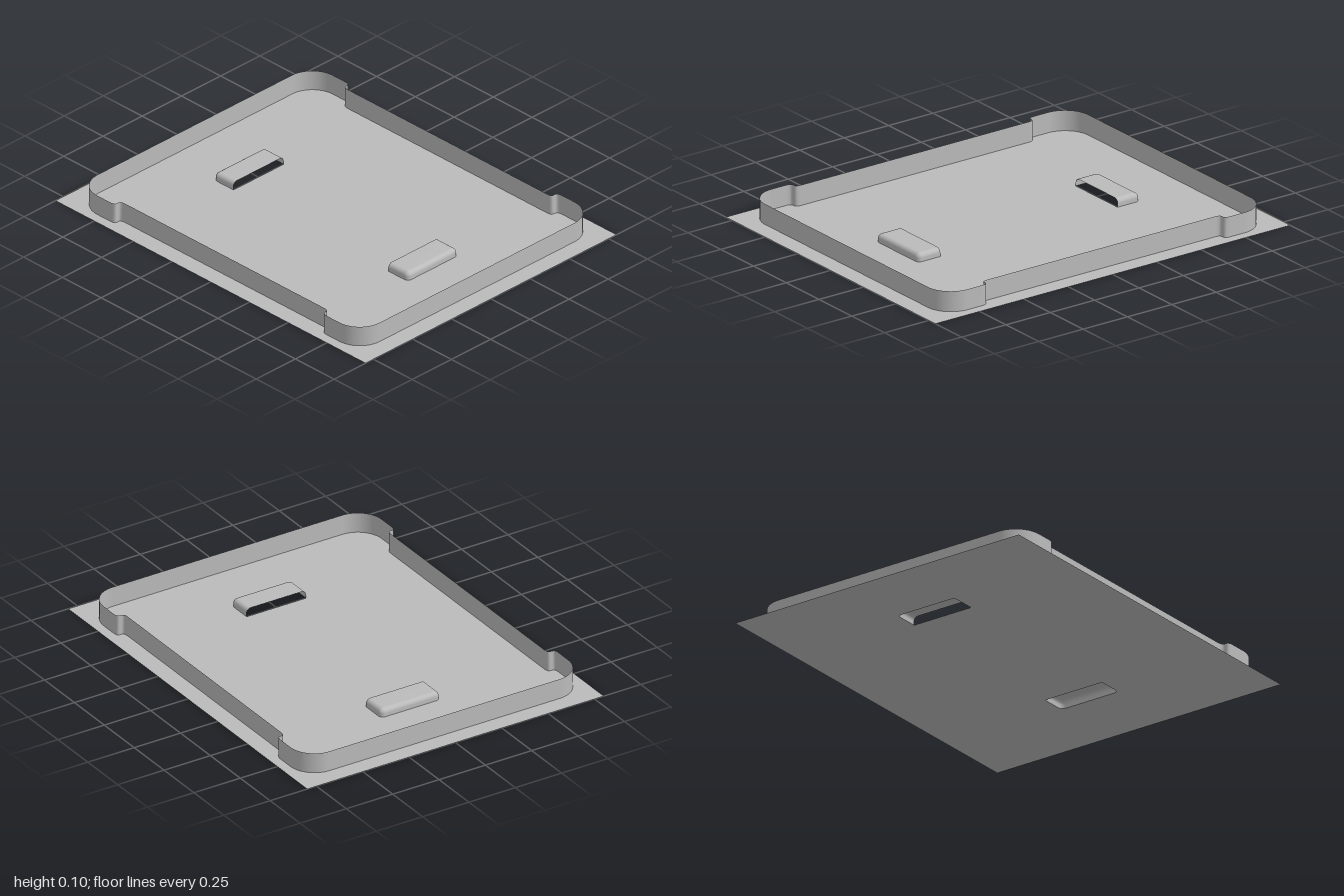
import * as THREE from 'three';

const HOOD = { w: 0.16, depth: 0.125, h: 0.04, r: 0.022, z: 0.5 };

// Quad grid between rows of [x, y, z] points; optionally closed along each row
function skin(rows, closed) {
  const n = rows[0].length, idx = [];
  for (let j = 0; j < rows.length - 1; j++) {
    for (let i = 0; i < (closed ? n : n - 1); i++) {
      const a = j * n + i, b = j * n + (i + 1) % n;
      idx.push(a, b, b + n, a, b + n, a + n);
    }
  }
  const geo = new THREE.BufferGeometry();
  geo.setAttribute('position', new THREE.Float32BufferAttribute(rows.flat(2), 3));
  geo.setIndex(idx);
  geo.computeVertexNormals();
  return geo;
}

// U-shaped plan of a hood as [x, z] from the open edge, pulled in by d
function hoodPlan(d) {
  const { w, depth, r } = HOOD, pts = [[w - d, 0]], steps = 6;
  for (const side of [1, -1]) {
    for (let i = 0; i <= steps; i++) {
      const t = (side > 0 ? i : steps - i) / steps * Math.PI / 2;
      pts.push([side * (w - r + (r - d) * Math.cos(t)), depth - r + (r - d) * Math.sin(t)]);
    }
  }
  pts.push([d - w, 0]);
  return pts;
}

// Flat sheet with a slot under each hood
function sheetGeometry() {
  const shape = new THREE.Shape([[-0.8, -1], [0.8, -1], [0.8, 1], [-0.8, 1]]
    .map(([x, y]) => new THREE.Vector2(x, y)));
  for (const s of [1, -1]) {
    shape.holes.push(new THREE.Path(hoodPlan(0)
      .map(([x, z]) => new THREE.Vector2(s * x, s * (z + HOOD.z)))));
  }
  return new THREE.ShapeGeometry(shape).rotateX(-Math.PI / 2);
}

// Thin upright rim: rounded corners, long sides stepped slightly inwards
function rimGeometry() {
  const X = 0.75, Z = 0.91, R = 0.13, inX = 0.71, z0 = 0.64, z1 = 0.7;
  const p = new THREE.Path();
  p.moveTo(inX, -z0);
  p.lineTo(inX, z0);
  p.bezierCurveTo(inX, z1, X, z0, X, z1);
  p.lineTo(X, Z - R);
  p.absarc(X - R, Z - R, R, 0, Math.PI / 2);
  p.absarc(R - X, Z - R, R, Math.PI / 2, Math.PI);
  p.lineTo(-X, z1);
  p.bezierCurveTo(-X, z0, -inX, z1, -inX, z0);
  p.lineTo(-inX, -z0);
  p.bezierCurveTo(-inX, -z1, -X, -z0, -X, -z1);
  p.lineTo(-X, R - Z);
  p.absarc(R - X, R - Z, R, Math.PI, Math.PI * 1.5);
  p.absarc(X - R, R - Z, R, Math.PI * 1.5, Math.PI * 2);
  p.lineTo(X, -z1);
  p.bezierCurveTo(X, -z0, inX, -z1, inX, -z0);
  const pts = p.getPoints(12);
  if (pts[0].distanceTo(pts[pts.length - 1]) < 1e-6) pts.pop();
  // Top row first so the faces look outwards
  return skin([0.1, 0].map(y => pts.map(q => [q.x, y, q.y])), true);
}

// Hood with rounded upper edges, open towards the middle
function hoodGeometry() {
  const { h, r } = HOOD, rows = [];
  const ring = (d, y) => rows.push(hoodPlan(d).map(([x, z]) => [x, y, z]));
  ring(0, 0);
  for (let i = 0; i <= 6; i++) {
    const t = i / 6 * Math.PI / 2;
    ring(r * (1 - Math.cos(t)), h - r + r * Math.sin(t));
  }
  // Flat roof: the last ring folds onto the open edge
  rows.push(rows[rows.length - 1].map(([x, y]) => [x, y, 0]));
  rows.reverse();
  return skin(rows, false);
}

export function createModel() {
  const model = new THREE.Group();
  model.name = 'ventPanel';
  const grey = new THREE.MeshStandardMaterial({ color: 0xbbbbbb, side: THREE.DoubleSide });
  grey.name = 'grey';

  const add = (name, geo) => {
    const mesh = new THREE.Mesh(geo, grey);
    mesh.name = name;
    model.add(mesh);
    return mesh;
  };

  add('sheet', sheetGeometry());
  add('rim', rimGeometry());

  // Front and back hoods, the back one turned half round
  const hood = hoodGeometry();
  add('frontHood', hood).position.z = HOOD.z;
  const back = add('backHood', hood);
  back.position.z = -HOOD.z;
  back.rotation.y = Math.PI;
  return model;
}
